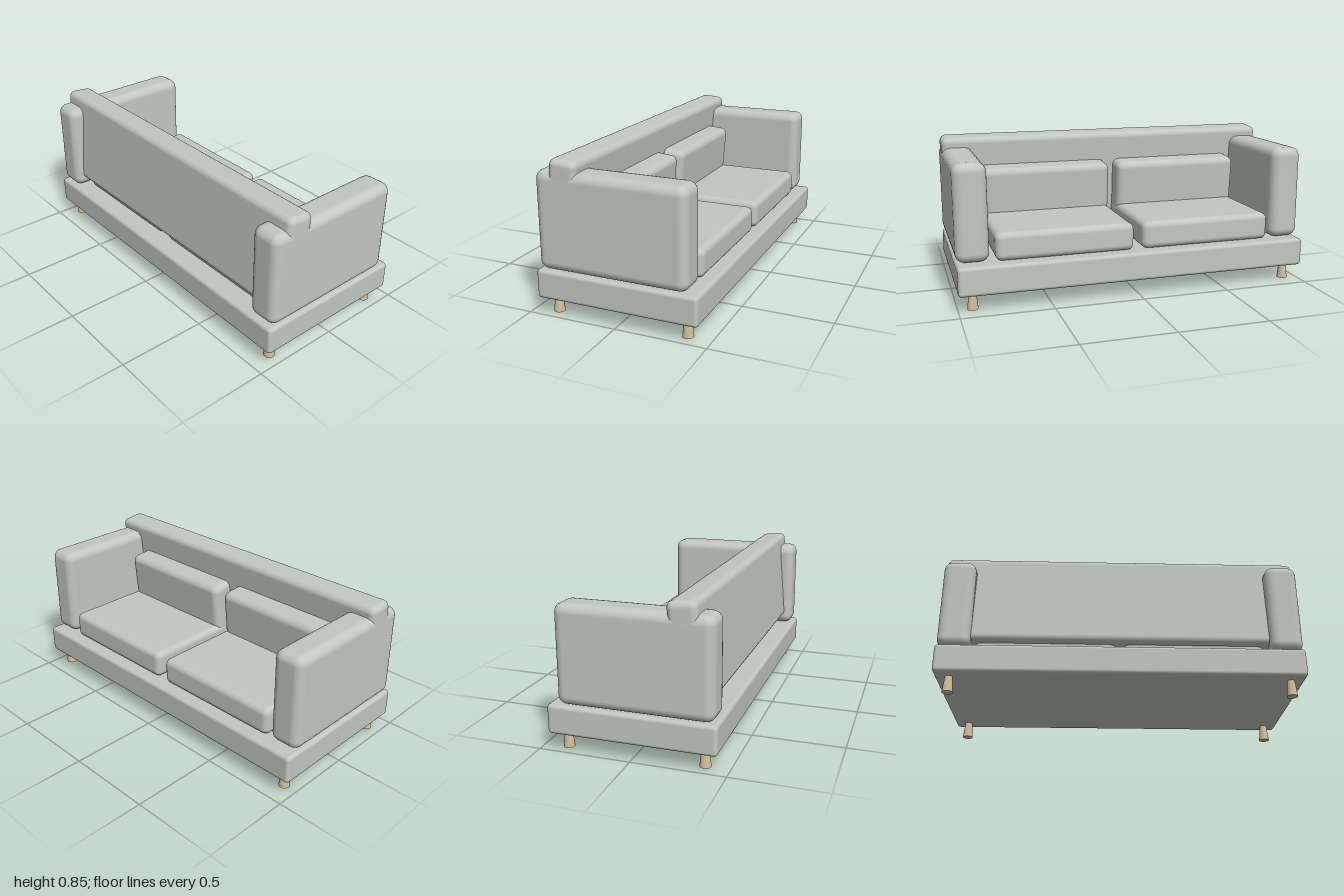
import * as THREE from 'three';
import { RoundedBoxGeometry } from 'three/addons/geometries/RoundedBoxGeometry.js';

const fabric = new THREE.MeshStandardMaterial({ color: 0xc2c8be });
const wood = new THREE.MeshStandardMaterial({ color: 0xd2c09a });
const LEAN = -0.088; // backrest and back cushions lean towards the seat

export function createModel() {
  const sofa = new THREE.Group();
  sofa.name = 'sofa';

  // Upholstered block with softened edges
  const pad = (name, [w, h, d], radius, [x, y, z], lean = 0) => {
    const mesh = new THREE.Mesh(new RoundedBoxGeometry(w, h, d, 3, radius), fabric);
    mesh.name = name;
    mesh.position.set(x, y, z);
    mesh.rotation.x = lean;
    sofa.add(mesh);
  };

  pad('base', [2, 0.16, 0.9], 0.02, [0, 0.17, 0]);
  pad('backrest', [1.998, 0.545, 0.155], 0.035, [0, 0.572, 0.291], LEAN);

  for (const side of [1, -1]) {
    const label = side > 0 ? 'left' : 'right';
    pad(label + 'Arm', [0.18, 0.53, 0.83], 0.05, [side * 0.91, 0.517, 0.02]);

    // Cushions sit very slightly off centre
    const x = side * 0.41 - 0.005;
    pad(label + 'SeatCushion', [0.77, 0.155, 0.74], 0.035, [x, 0.327, -0.02]);
    pad(label + 'BackCushion', [0.765, 0.36, 0.16], 0.04, [x, 0.49, 0.175], LEAN);

    // Legs flare towards the floor
    for (const end of [1, -1]) {
      const leg = new THREE.Mesh(new THREE.CylinderGeometry(0.02, 0.03, 0.095, 20), wood);
      leg.name = label + (end > 0 ? 'Rear' : 'Front') + 'Leg';
      leg.position.set(side * 0.92, 0.0475, end * 0.37);
      sofa.add(leg);
    }
  }
  return sofa;
}
